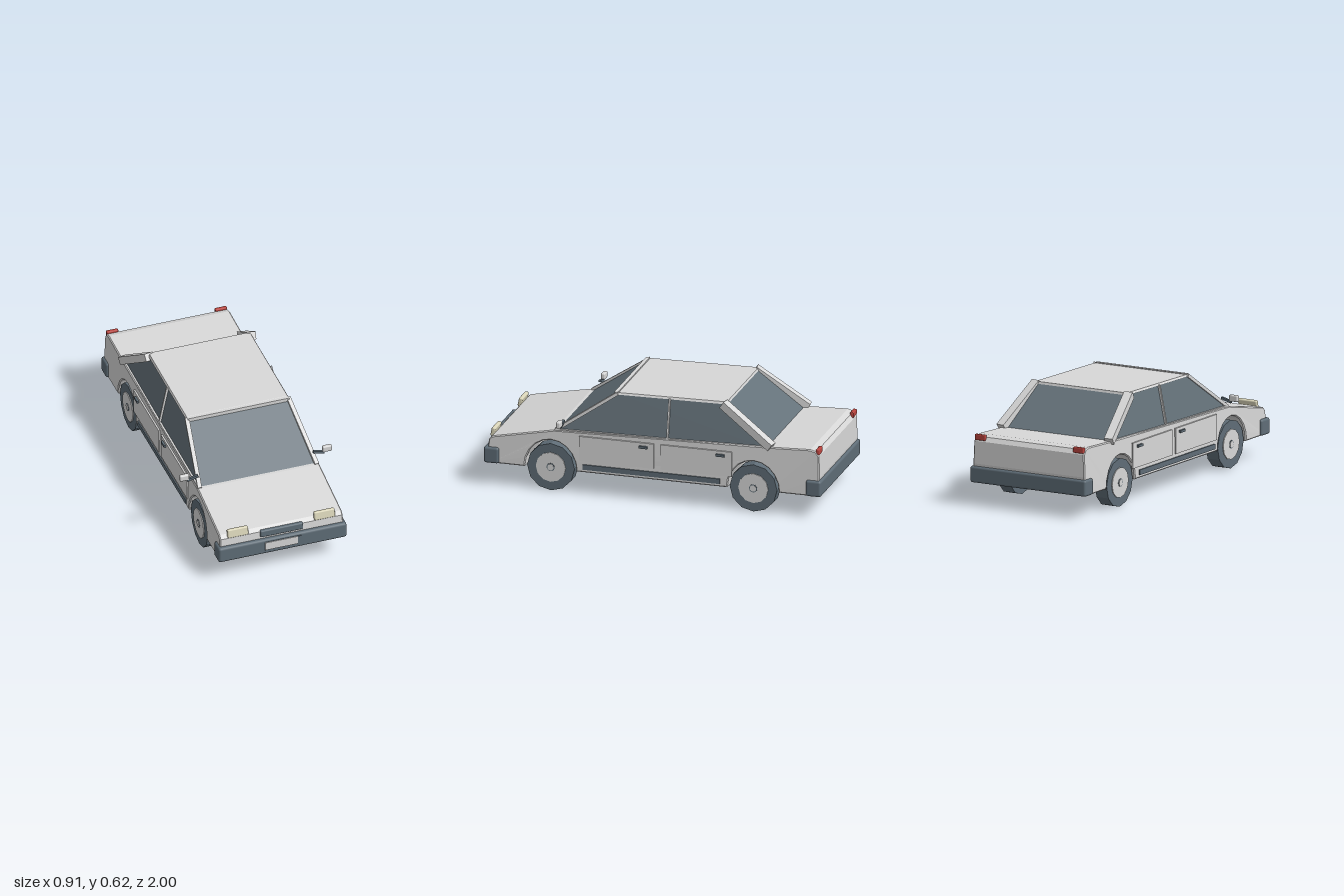
import * as THREE from 'three';
import { RoundedBoxGeometry } from 'three/addons/geometries/RoundedBoxGeometry.js';
import { ConvexGeometry } from 'three/addons/geometries/ConvexGeometry.js';

export function createModel() {
  const car = new THREE.Group();
  car.name = 'car';

  const material = (name, color) => {
    const m = new THREE.MeshStandardMaterial({ color });
    m.name = name;
    return m;
  };
  const paint = material('paint', 0xd8d8d8);
  const trim = material('darkTrim', 0x5f6d77);
  const glass = material('glass', 0x65727a);
  const cream = material('lampCream', 0xdad5b9);
  const red = material('lampRed', 0xba443e);

  const add = (name, geometry, mat, x = 0, y = 0, z = 0, parent = car) => {
    const mesh = new THREE.Mesh(geometry, mat);
    mesh.name = name;
    mesh.position.set(x, y, z);
    parent.add(mesh);
    return mesh;
  };
  const box = (name, mat, w, h, d, x, y, z) =>
    add(name, new THREE.BoxGeometry(w, h, d), mat, x, y, z);
  const rounded = (name, mat, w, h, d, x, y, z, r = 0.008) =>
    add(name, new RoundedBoxGeometry(w, h, d, 2, r), mat, x, y, z);
  // Square bar running between two points
  const beam = (name, mat, a, b, w, h) => {
    const p = new THREE.Vector3(...a), q = new THREE.Vector3(...b);
    const mesh = add(name, new THREE.BoxGeometry(w, h, p.distanceTo(q)), mat);
    mesh.position.copy(p).lerp(q, 0.5);
    mesh.lookAt(q);
    return mesh;
  };
  const hull = (name, mat, points) =>
    add(name, new ConvexGeometry(points.flatMap(([x, y, z]) =>
      [new THREE.Vector3(x, y, z), new THREE.Vector3(-x, y, z)])), mat);

  const axles = [0.6, -0.595];

  // Lower body: side profile with wheel arches, extruded across the car
  const profile = new THREE.Shape();
  profile.moveTo(0.95, 0.13);
  for (const z of axles) {
    for (let i = 0; i <= 10; i++) {
      const a = (Math.PI * i) / 10;
      profile.lineTo(z + 0.153 * Math.cos(a), 0.13 + 0.172 * Math.sin(a));
    }
  }
  [[-0.975, 0.13], [-0.985, 0.24], [-0.982, 0.37], [-0.965, 0.395], [-0.93, 0.405],
    [-0.7, 0.395], [0, 0.378], [0.58, 0.363], [0.945, 0.29], [0.965, 0.27], [0.97, 0.22]]
    .forEach(([z, y]) => profile.lineTo(z, y));
  profile.closePath();
  const body = new THREE.ExtrudeGeometry(profile, {
    depth: 0.728, bevelEnabled: true, bevelThickness: 0.006,
    bevelSize: 0.006, bevelOffset: -0.006, bevelSegments: 1,
  });
  body.translate(0, 0, -0.364).rotateY(-Math.PI / 2);
  const pos = body.attributes.position;
  for (let i = 0; i < pos.count; i++) {
    // Sides lean in slightly towards the shoulder
    pos.setX(i, pos.getX(i) * (1 - 0.09 * Math.max(0, pos.getY(i) - 0.2)));
  }
  body.computeVertexNormals();
  add('body', body, paint);

  // Cabin glass and roof
  hull('cabinGlass', glass, [
    [0.352, 0.355, 0.575], [0.352, 0.375, -0.7],
    [0.303, 0.6, 0.225], [0.303, 0.606, -0.42],
  ]);
  hull('roof', paint, [
    [0.309, 0.594, 0.235], [0.309, 0.604, -0.425],
    [0.302, 0.605, 0.215], [0.302, 0.617, -0.42],
  ]);
  beam('windscreenHeader', paint, [-0.303, 0.597, 0.233], [0.303, 0.597, 0.233], 0.022, 0.022);

  for (const s of [1, -1]) {
    // Pillars
    beam('frontPillar', paint, [s * 0.35, 0.362, 0.575], [s * 0.303, 0.6, 0.225], 0.024, 0.018);
    beam('middlePillar', paint, [s * 0.353, 0.37, -0.085], [s * 0.306, 0.603, -0.085], 0.01, 0.02);
    beam('rearPillar', paint, [s * 0.305, 0.605, -0.4], [s * 0.356, 0.395, -0.7], 0.052, 0.045);
    beam('windowSill', paint, [s * 0.354, 0.364, 0.56], [s * 0.354, 0.385, -0.68], 0.012, 0.012);

    // Doors, handles and sills
    for (const [z, length, handleZ] of [[0.21, 0.44, 0.05], [-0.26, 0.42, -0.405]]) {
      box('door', paint, 0.012, 0.148, length, s * 0.369, 0.271, z);
      box('doorHandle', trim, 0.016, 0.014, 0.05, s * 0.379, 0.321, handleZ);
    }
    box('sillStrip', trim, 0.02, 0.03, 0.81, s * 0.367, 0.163, 0.005);

    // Mirrors
    beam('mirrorStalk', trim, [s * 0.345, 0.418, 0.53], [s * 0.41, 0.4, 0.53], 0.014, 0.014)
      .position.y = 0.41;
    rounded('mirror', paint, 0.056, 0.038, 0.025, s * 0.427, 0.425, 0.53);

    // Lamps
    const headlight = rounded('headlight', cream, 0.124, 0.052, 0.024, s * 0.259, 0.296, 0.956);
    headlight.rotation.x = -0.2;
    box('sideMarker', cream, 0.03, 0.018, 0.04, s * 0.352, 0.262, 0.935);
    rounded('tailLight', red, 0.07, 0.034, 0.022, s * 0.325, 0.392, -0.972, 0.006);

    // Wheels
    for (const z of axles) {
      const wheel = new THREE.Group();
      wheel.name = 'wheel';
      wheel.position.set(s * 0.323, 0.14, z);
      wheel.rotation.z = -s * Math.PI / 2;
      car.add(wheel);
      const disc = (name, mat, r, h, y) =>
        add(name, new THREE.CylinderGeometry(r, r, h, 12).toNonIndexed(), mat, 0, y, 0, wheel)
          .geometry.computeVertexNormals();
      disc('tyre', trim, 0.14, 0.078, 0);
      disc('hub', paint, 0.088, 0.008, 0.04);
      disc('hubRing', trim, 0.024, 0.006, 0.043);
      disc('hubCap', paint, 0.019, 0.008, 0.044);
    }
  }

  // Bumpers, grille and plate
  rounded('frontBumper', trim, 0.766, 0.095, 0.09, 0, 0.178, 0.948, 0.014);
  rounded('rearBumper', trim, 0.766, 0.095, 0.09, 0, 0.178, -0.953, 0.014);
  rounded('grille', trim, 0.256, 0.044, 0.024, 0, 0.257, 0.965);
  box('plateMount', trim, 0.216, 0.05, 0.008, 0, 0.186, 0.994);
  box('plate', paint, 0.196, 0.05, 0.004, -0.011, 0.186, 0.998);

  return car;
}
